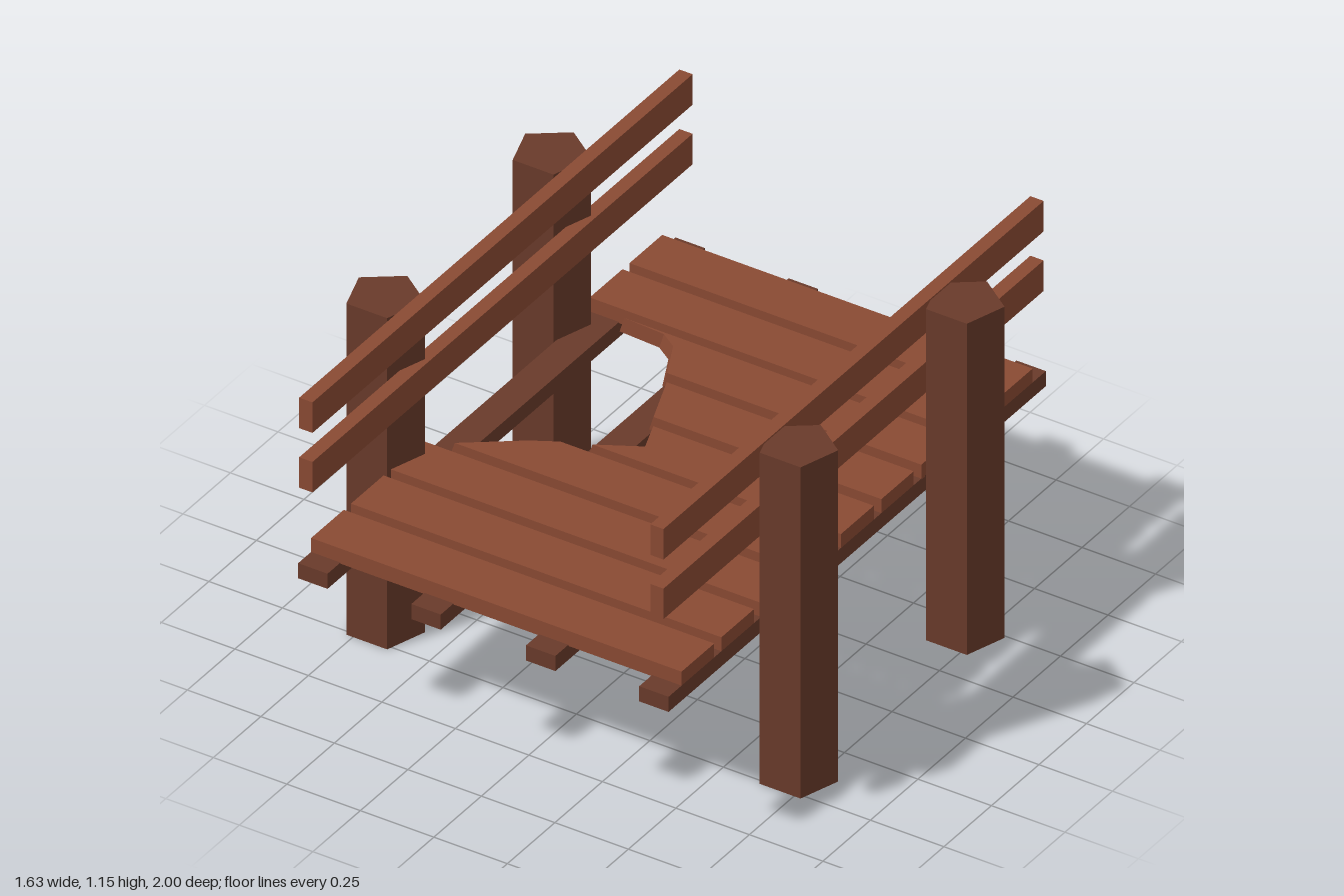
import * as THREE from 'three';

export function createModel() {
  const bridge = new THREE.Group();
  bridge.name = 'brokenFootbridge';
  const lightWood = new THREE.MeshStandardMaterial({ color: 0x8a4a33, flatShading: true });
  const darkWood = new THREE.MeshStandardMaterial({ color: 0x693a2a, flatShading: true });

  const add = (name, geometry, material, x, y, z) => {
    const mesh = new THREE.Mesh(geometry, material);
    mesh.name = name;
    mesh.position.set(x, y, z);
    bridge.add(mesh);
  };

  // Five-sided posts and handrails on both sides
  const postGeo = new THREE.CylinderGeometry(0.118, 0.118, 1.14, 5, 1, false, Math.PI);
  const railGeo = new THREE.BoxGeometry(0.045, 0.105, 2);
  for (const [side, s] of [['left', 1], ['right', -1]]) {
    add(side + 'FrontPost', postGeo, darkWood, s * 0.703, 0.57, 0.42);
    add(side + 'BackPost', postGeo, darkWood, s * 0.703, 0.57, -0.455);
    add(side + 'UpperRail', railGeo, lightWood, s * 0.597, 1.093, 0);
    add(side + 'LowerRail', railGeo, lightWood, s * 0.597, 0.888, 0);
  }

  // Beams beneath the deck
  const beamGeo = new THREE.BoxGeometry(0.1, 0.052, 1.985);
  for (const x of [-0.58, -0.195, 0.195, 0.58]) add('deckBeam', beamGeo, darkWood, x, 0.54, -0.003);

  // Broken ends of the middle planks: [x, z] from back edge to front edge
  const breaks = {
    2: [[-0.49, -0.51], [-0.35, -0.502], [-0.295, -0.465], [-0.235, -0.34]],
    3: [[-0.21, -0.3], [-0.145, -0.13]],
    4: [[-0.12, -0.09], [-0.083, 0.01], [-0.215, 0.083]],
    5: [[-0.3, 0.12], [-0.38, 0.165], [-0.55, 0.29]],
  };
  const thickness = 0.052;
  const brokenPlank = (end) => {
    const zBack = end[0][1], zFront = end[end.length - 1][1];
    const outline = [...end, [0.63, zFront], [0.63, zBack]];
    const shape = new THREE.Shape(outline.map(([x, z]) => new THREE.Vector2(x, -z)));
    const geo = new THREE.ExtrudeGeometry(shape, { depth: thickness, bevelEnabled: false });
    geo.rotateX(-Math.PI / 2);
    // Lower edge of the break juts out a little further
    const p = geo.attributes.position;
    for (let i = 0; i < p.count; i++) {
      if (p.getX(i) < 0 && p.getY(i) < thickness / 2) p.setX(i, p.getX(i) - 0.016);
    }
    geo.computeVertexNormals();
    return geo;
  };

  // Deck planks
  const plankGeo = new THREE.BoxGeometry(1.26, thickness, 0.172);
  for (let i = 0; i < 9; i++) {
    if (breaks[i]) add('brokenPlank', brokenPlank(breaks[i]), lightWood, 0, 0.562, 0);
    else add('plank', plankGeo, lightWood, 0, 0.562 + thickness / 2, -0.84 + i * 0.2094);
  }
  return bridge;
}
